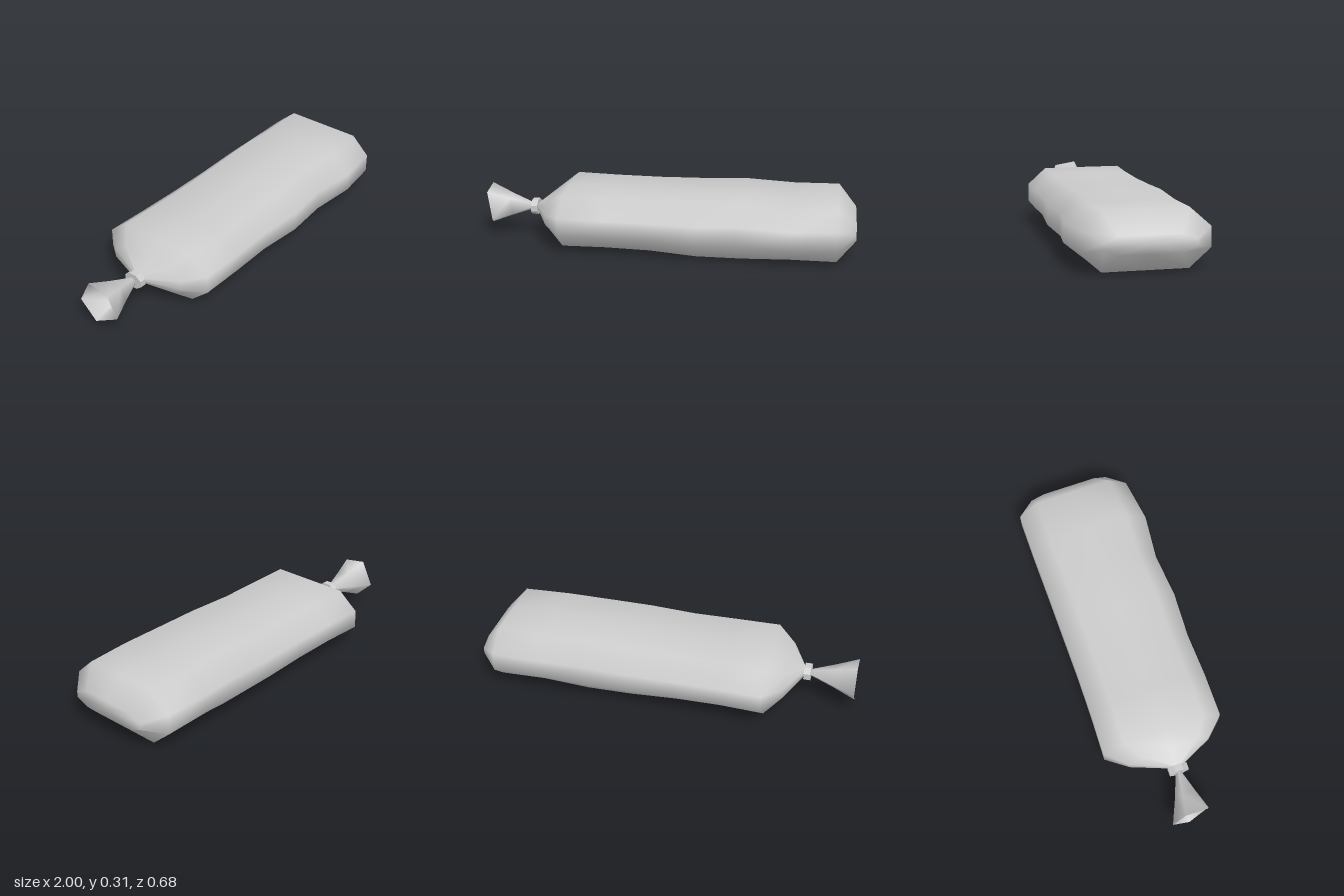
import * as THREE from 'three';

const material = new THREE.MeshStandardMaterial({ color: 0xcccccc });
const openMaterial = new THREE.MeshStandardMaterial({ color: 0xcccccc, side: THREE.DoubleSide });

// Joins rings of [x, y, z] points, ordered towards +x, into a smooth skin.
function skin(rings, capPoint) {
  const n = rings[0].length;
  const points = rings.flat();
  const index = [];
  for (let i = 0; i < rings.length - 1; i++) {
    for (let j = 0; j < n; j++) {
      const a = i * n + j, c = i * n + (j + 1) % n;
      index.push(a, c, a + n, c, c + n, a + n);
    }
  }
  if (capPoint) {
    const start = (rings.length - 1) * n;
    for (let j = 0; j < n; j++) index.push(start + j, start + (j + 1) % n, points.length);
    points.push(capPoint);
  }
  const geometry = new THREE.BufferGeometry();
  geometry.setAttribute('position', new THREE.Float32BufferAttribute(points.flat(), 3));
  geometry.setIndex(index);
  geometry.computeVertexNormals();
  return geometry;
}

// Flattened ten-sided cross-section: [z share, y share] from the top centre round the front.
const section = [
  [0, 1], [0.67, 1], [1, 0.35], [1, -0.35], [0.67, -1],
  [0, -1], [-0.67, -1], [-1, -0.35], [-1, 0.35], [-0.67, 1],
];

function bagRing([x, front, back, top, bottom]) {
  const mid = (top + bottom) / 2, half = (top - bottom) / 2;
  return section.map(([z, y]) => [x, mid + y * half, z > 0 ? z * front : -z * back]);
}

export function createModel() {
  const group = new THREE.Group();
  const add = (name, geometry, mat = material) => {
    const mesh = new THREE.Mesh(geometry, mat);
    mesh.name = name;
    group.add(mesh);
    return mesh;
  };

  // Filled bag: x, front z, back z, top y, bottom y
  const stations = [
    [-0.73, 0.02, -0.02, 0.18, 0.15],
    [-0.64, 0.21, -0.23, 0.235, 0.09],
    [-0.55, 0.305, -0.34, 0.298, 0.02],
    [-0.32, 0.31, -0.33, 0.295, 0.025],
    [-0.08, 0.305, -0.325, 0.295, 0.02],
    [0.17, 0.322, -0.325, 0.3, 0.006],
    [0.41, 0.305, -0.325, 0.31, 0.003],
    [0.66, 0.335, -0.327, 0.298, 0.02],
    [0.9, 0.305, -0.325, 0.303, 0.013],
    [0.995, 0.215, -0.23, 0.2, 0.11],
  ];
  add('bag', skin(stations.map(bagRing), [0.99, 0.155, 0]));

  // Clip round the gathered neck
  const clip = new THREE.CylinderGeometry(0.043, 0.043, 0.035, 8).toNonIndexed();
  clip.rotateZ(Math.PI / 2).rotateX(Math.PI / 8).scale(1, 1, 1.3);
  clip.computeVertexNormals();
  add('neckClip', clip).position.set(-0.742, 0.165, 0);

  // Flared, open tail of loose film
  const rim = [
    [-1, 0.27, -0.06], [-1, 0.25, 0.06], [-0.97, 0.1, 0.085],
    [-1, 0.05, -0.03], [-1, 0.14, -0.125],
  ];
  const neck = [-0.735, 0.165, 0];
  const tailRing = (t, width) => rim.map((p) => [
    neck[0] + (p[0] - neck[0]) * t,
    neck[1] + (p[1] - neck[1]) * width,
    neck[2] + (p[2] - neck[2]) * width,
  ]);
  add('tail', skin([tailRing(1, 1), tailRing(0.55, 0.56), tailRing(0, 0.08)]), openMaterial);

  return group;
}
